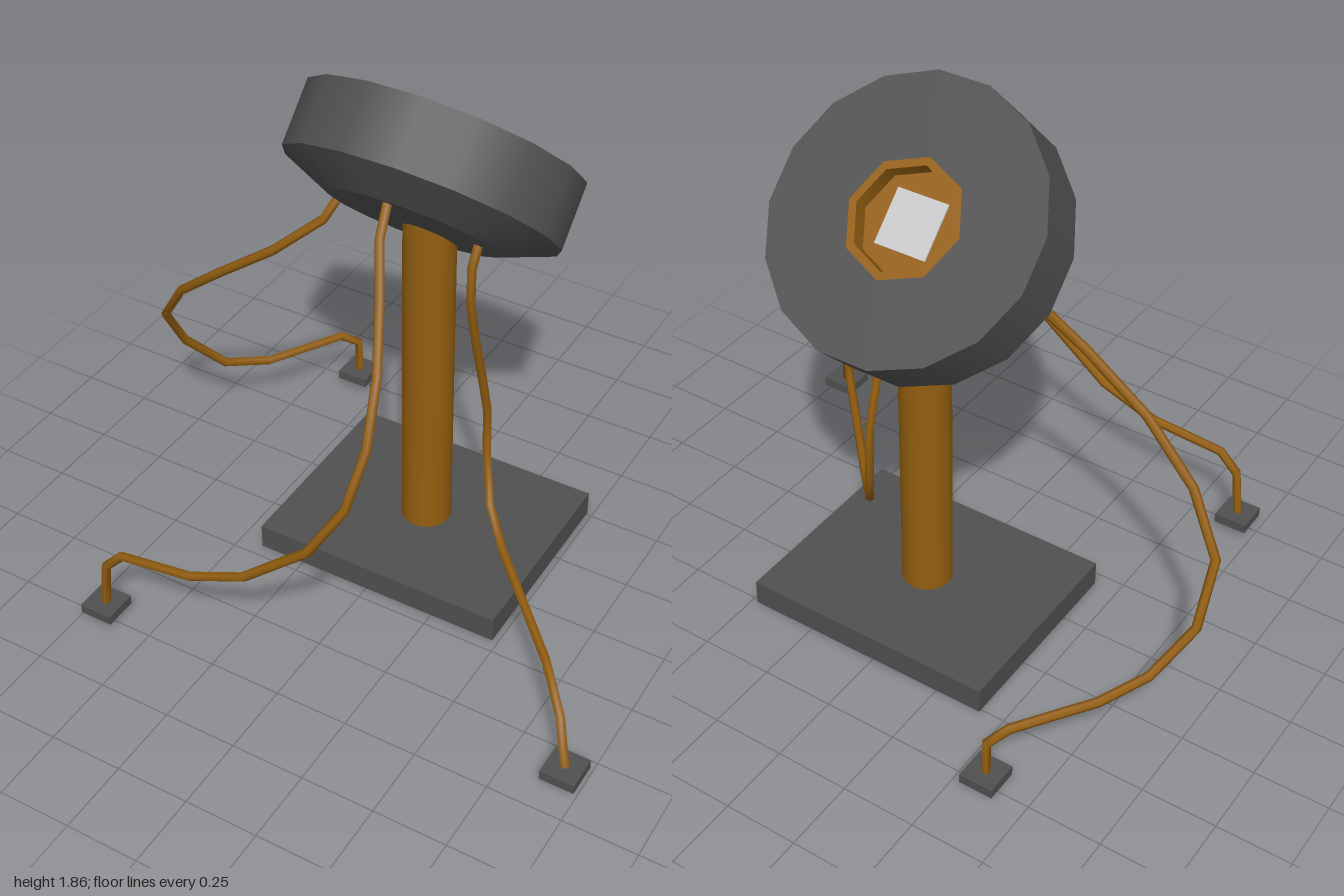
import * as THREE from 'three';

const grey = new THREE.MeshStandardMaterial({ color: 0x505050 });
grey.name = 'darkGrey';
const amber = new THREE.MeshStandardMaterial({ color: 0x935e10, side: THREE.DoubleSide });
amber.name = 'amberBrown';
const pale = new THREE.MeshStandardMaterial({ color: 0xc8c8c8 });
pale.name = 'paleGrey';

function add(parent, name, geometry, material, x = 0, y = 0, z = 0) {
  const mesh = new THREE.Mesh(geometry, material);
  mesh.name = name;
  mesh.position.set(x, y, z);
  parent.add(mesh);
  return mesh;
}

// Corners of a regular polygon
function polygon(radius, sides, offset = 0) {
  return Array.from({ length: sides }, (_, i) => {
    const a = offset + (i / sides) * Math.PI * 2;
    return new THREE.Vector2(Math.cos(a) * radius, Math.sin(a) * radius);
  });
}

// Flat upward-facing polygon, optionally with a hole
function plate(outer, hole) {
  const shape = new THREE.Shape(outer);
  if (hole) shape.holes.push(new THREE.Path(hole));
  return new THREE.ShapeGeometry(shape).rotateX(-Math.PI / 2);
}

// Low-poly cable with one ring at each path point
function cable(points) {
  const curve = new THREE.CatmullRomCurve3(points.map((p) => new THREE.Vector3(...p)));
  curve.getPointAt = curve.getPoint;
  curve.getTangentAt = curve.getTangent;
  return new THREE.TubeGeometry(curve, points.length - 1, 0.016, 6);
}

export function createModel() {
  const model = new THREE.Group();
  model.name = 'tiltedHeadStand';
  const cx = 0.0325;

  // Base and post
  add(model, 'base', new THREE.BoxGeometry(0.895, 0.09, 0.715), grey, cx, 0.045, -0.153);
  add(model, 'post', new THREE.CylinderGeometry(0.086, 0.086, 1.32, 16), amber, cx, 0.74, -0.15);

  // Head leaning back at 45 degrees; local y = 0 is its upper face
  const head = new THREE.Group();
  head.name = 'head';
  head.position.set(cx, 1.5425, -0.2475);
  head.rotation.x = -Math.PI / 4;
  model.add(head);
  const R = 0.456, sides = 16, turn = Math.PI / sides, thick = 0.217;
  add(head, 'headRim', new THREE.CylinderGeometry(R, R, thick, sides, 1, true, turn), grey, 0, -thick / 2, 0);
  add(head, 'headUnderside', new THREE.CylinderGeometry(R, 0.28, 0.073, sides, 1, false, turn), grey, 0, -thick - 0.0365, 0);
  add(head, 'headFace', plate(polygon(R, sides, turn), polygon(0.195, 8)), grey);

  // Eight-sided recess with a pale square in it
  const depth = 0.06;
  add(head, 'recessRing', plate(polygon(0.195, 8), polygon(0.168, 8)), amber);
  add(head, 'recessWall', new THREE.CylinderGeometry(0.168, 0.168, depth, 8, 1, true), amber, 0, -depth / 2, 0);
  add(head, 'recessFloor', plate(polygon(0.168, 8)), amber, 0, -depth, 0);
  add(head, 'paleSquare', new THREE.BoxGeometry(0.18, 0.006, 0.18), pale, 0, -depth + 0.003, 0);

  // Cables from the head's underside, each ending at a small foot
  const cables = {
    front: [[0.04, 1.52, 0.115], [0.06, 1.43, 0.2], [0.13, 1.3, 0.32], [0.2, 1.15, 0.455],
      [0.235, 0.98, 0.575], [0.21, 0.8, 0.66], [0.1, 0.615, 0.7], [-0.13, 0.415, 0.715],
      [-0.33, 0.33, 0.725], [-0.59, 0.3, 0.735], [-0.655, 0.23, 0.74], [-0.675, 0.055, 0.74]],
    right: [[-0.255, 1.315, -0.07], [-0.28, 1.257, -0.03], [-0.445, 1.11, 0.015], [-0.66, 0.95, 0.02],
      [-0.853, 0.786, -0.02], [-0.975, 0.604, -0.08], [-0.984, 0.417, -0.19], [-0.9, 0.267, -0.31],
      [-0.805, 0.22, -0.45], [-0.645, 0.23, -0.7], [-0.6, 0.187, -0.75], [-0.597, 0.055, -0.75]],
    left: [[0.245, 1.32, -0.07], [0.245, 1.25, -0.03], [0.245, 1.115, -0.03], [0.245, 0.953, -0.07],
      [0.245, 0.757, -0.128], [0.245, 0.61, -0.167], [0.245, 0.42, -0.175], [0.297, 0.267, -0.108],
      [0.42, 0.225, 0.03], [0.765, 0.243, 0.408], [0.89, 0.195, 0.555], [0.94, 0.055, 0.61]],
  };
  for (const [side, points] of Object.entries(cables)) {
    const [x, , z] = points[points.length - 1];
    add(model, side + 'Cable', cable(points), amber);
    add(model, side + 'Foot', new THREE.BoxGeometry(0.116, 0.033, 0.116), grey, x, 0.049, z);
  }
  return model;
}
